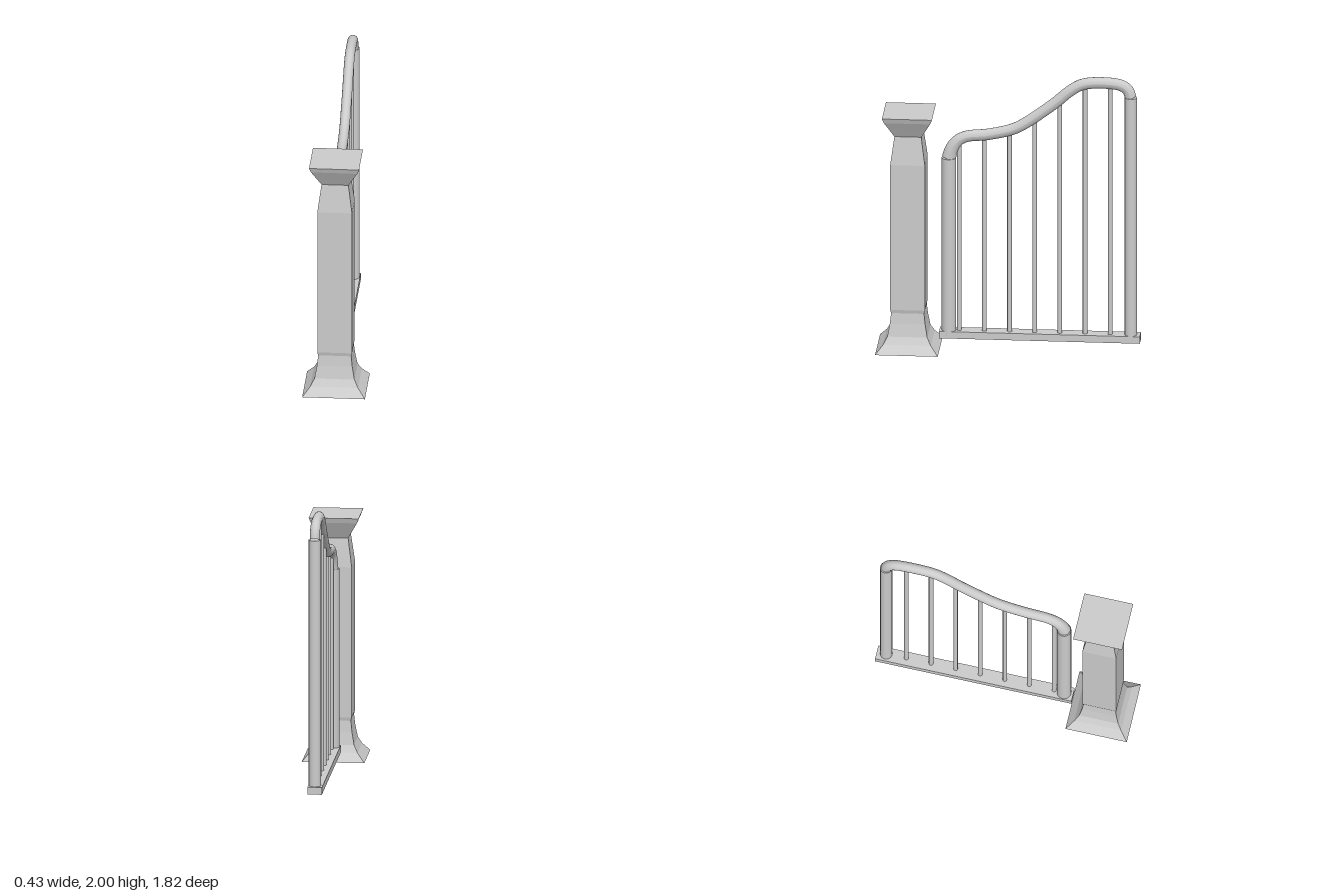
import * as THREE from 'three';

const V = (z, y) => new THREE.Vector3(0, y, z);

export function createModel() {
  const group = new THREE.Group();
  const smooth = new THREE.MeshStandardMaterial({ color: 0xcccccc });
  const flat = new THREE.MeshStandardMaterial({ color: 0xcccccc, flatShading: true });

  const add = (name, geometry, material, x = 0, y = 0, z = 0) => {
    const mesh = new THREE.Mesh(geometry, material);
    mesh.name = name;
    mesh.position.set(x, y, z);
    group.add(mesh);
    return mesh;
  };
  const upright = (name, radius, z, bottom, top, sides) =>
    add(name, new THREE.CylinderGeometry(radius, radius, top - bottom, sides), smooth, 0, (top + bottom) / 2, z);

  // Square pillar: [half width, height] turned with four sides
  const profile = [
    [0, 0], [0.217, 0], [0.165, 0.06], [0.138, 0.11], [0.122, 0.2], [0.114, 0.275],
    [0.12, 0.3], [0.12, 1.36], [0.112, 1.42], [0.093, 1.56], [0.132, 1.63],
    [0.16, 1.68], [0.173, 1.715], [0, 1.715],
  ].map(([w, y]) => new THREE.Vector2(w * Math.SQRT2, y));
  const pillar = new THREE.LatheGeometry(profile, 4);
  pillar.rotateY(Math.PI / 4);
  add('pillar', pillar, flat, 0, 0, 0.695);

  // Base bar
  add('baseBar', new THREE.BoxGeometry(0.1, 0.05, 1.39), flat, -0.005, 0.1, -0.212);

  // Swept top rail, slightly thicker where it meets the front post
  const curve = new THREE.CatmullRomCurve3([
    V(0.418, 1.385), V(0.4, 1.447), V(0.363, 1.505), V(0.3, 1.542), V(0.15, 1.562),
    V(-0.008, 1.6), V(-0.087, 1.637), V(-0.31, 1.8), V(-0.415, 1.892), V(-0.495, 1.942),
    V(-0.585, 1.96), V(-0.765, 1.95), V(-0.818, 1.918), V(-0.841, 1.86),
  ]);
  const steps = 80, sides = 16;
  const rail = new THREE.TubeGeometry(curve, steps, 0.04, sides);
  const pos = rail.attributes.position;
  const p = new THREE.Vector3();
  for (let i = 0; i <= steps; i++) {
    const centre = curve.getPointAt(i / steps);
    const swell = 1 + 0.22 * Math.max(0, 1 - i / 10);
    for (let j = 0; j <= sides; j++) {
      const k = i * (sides + 1) + j;
      p.fromBufferAttribute(pos, k).sub(centre).multiplyScalar(swell);
      p.x *= 0.87;
      p.add(centre);
      pos.setXYZ(k, p.x, p.y, p.z);
    }
  }
  rail.computeVertexNormals();
  add('topRail', rail, smooth);

  // End posts
  upright('frontPost', 0.05, 0.418, 0.09, 1.385, 24);
  upright('rearPost', 0.042, -0.841, 0.11, 1.86, 24);

  // Balusters reaching up into the rail
  const path = curve.getSpacedPoints(200);
  for (let i = 0; i < 7; i++) {
    const z = 0.347 - i * 0.1742;
    const top = path.find((q) => q.z <= z).y;
    upright('baluster', 0.016, z, 0.11, top, 12);
  }
  return group;
}
